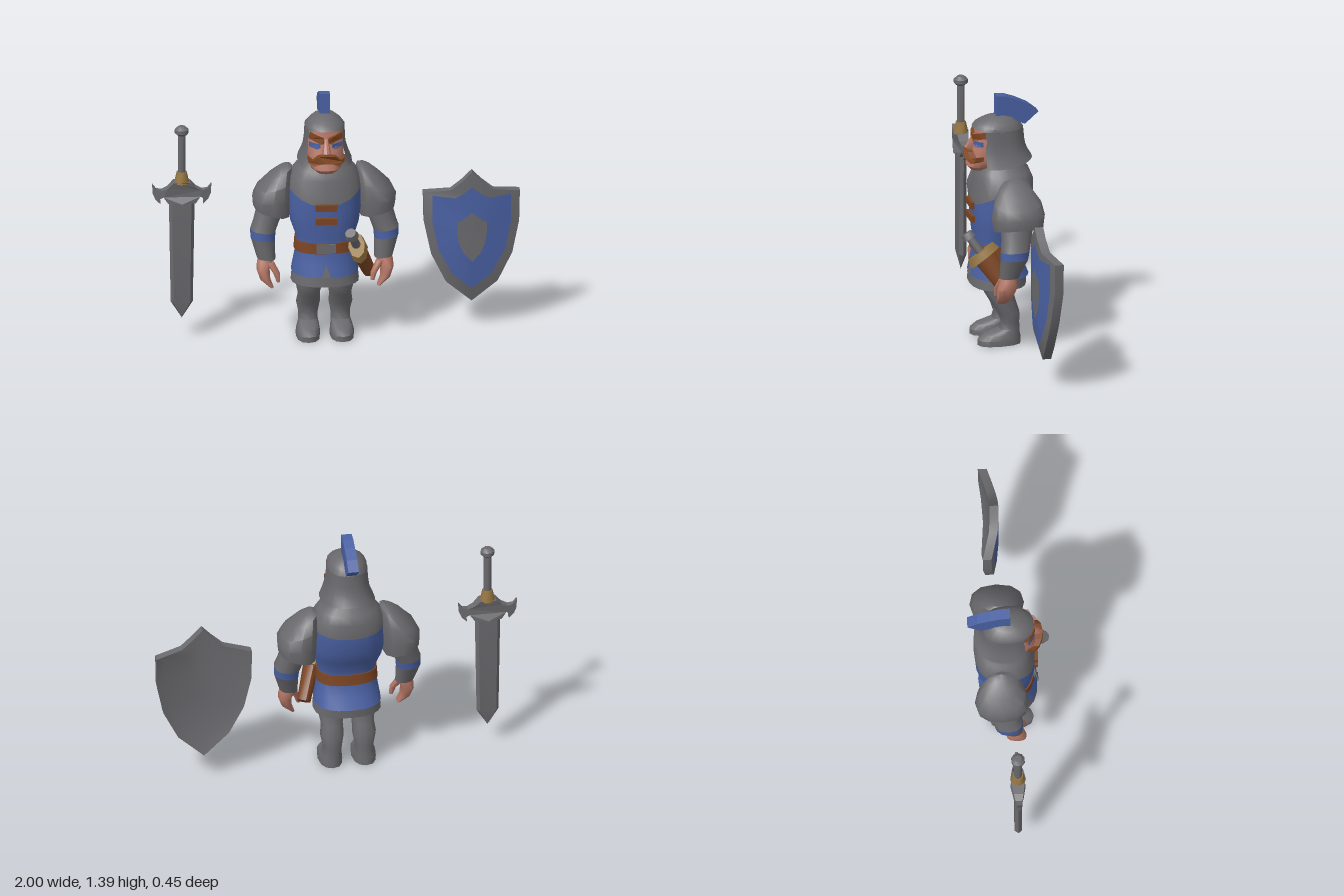
import * as THREE from 'three';
import { toCreasedNormals } from 'three/addons/utils/BufferGeometryUtils.js';

const mat = (name, color, side = THREE.FrontSide) => {
  const m = new THREE.MeshStandardMaterial({ color, side });
  m.name = name;
  return m;
};
const C = -0.065; // centre line of the figure
const V = (x, y, z) => new THREE.Vector3(x, y, z);

// Horizontal rounded cross-section; tx and tz tilt it, dip bends it by angle
function ring(x, y, z, rx, rz, { n = 16, e = 0.8, tx = 0, tz = 0, dip = () => 0 } = {}) {
  return Array.from({ length: n }, (_, i) => {
    const a = (i / n) * Math.PI * 2, c = Math.cos(a), s = Math.sin(a);
    const dx = Math.sign(c) * Math.abs(c) ** e * rx, dz = Math.sign(s) * Math.abs(s) ** e * rz;
    return V(x + dx, y + tx * dx + tz * dz + dip(s), z + dz);
  });
}
const point = (p, n) => Array.from({ length: n }, () => p.clone());
const middle = r => point(r.reduce((a, p) => a.add(p), V(0, 0, 0)).divideScalar(r.length), r.length);

// Skin a list of cross-sections
function loft(rings, { caps = true, closed = true, crease = 0.75 } = {}) {
  const rs = caps ? [middle(rings[0]), ...rings, middle(rings.at(-1))] : rings;
  const out = [], n = rs[0].length;
  const tri = (a, b, c) => {
    if (a.distanceTo(b) > 1e-6 && b.distanceTo(c) > 1e-6 && a.distanceTo(c) > 1e-6)
      for (const p of [a, b, c]) out.push(p.x, p.y, p.z);
  };
  for (let i = 0; i < rs.length - 1; i++)
    for (let j = 0; j < (closed ? n : n - 1); j++) {
      const k = (j + 1) % n;
      tri(rs[i][j], rs[i + 1][j], rs[i + 1][k]);
      tri(rs[i][j], rs[i + 1][k], rs[i][k]);
    }
  const g = new THREE.BufferGeometry();
  g.setAttribute('position', new THREE.Float32BufferAttribute(out, 3));
  g.computeVertexNormals();
  return toCreasedNormals(g, crease);
}
// Flat outline pushed to a depth, centred on z = 0
function slab(points, depth) {
  const s = new THREE.Shape(points.map(p => new THREE.Vector2(...p)));
  return new THREE.ExtrudeGeometry(s, { depth, bevelEnabled: false }).translate(0, 0, -depth / 2);
}
function bend(g, rule) {
  const p = g.attributes.position;
  for (let i = 0; i < p.count; i++) p.setZ(i, rule(p.getX(i), p.getY(i), p.getZ(i)));
  g.computeVertexNormals();
  return g;
}
const mirrored = half => [...half, ...half.filter(p => p[0] > 0).reverse().map(([x, y]) => [-x, y])];

export function createModel() {
  const root = new THREE.Group();
  const grey = mat('steel grey', 0x6a6a6e), blue = mat('cloth blue', 0x4a61a3);
  const brown = mat('leather brown', 0x7c4523), skin = mat('skin', 0xb57766);
  const tan = mat('brass tan', 0x94743f), hair = mat('hair brown', 0x804722);
  const shell = mat('helmet grey', 0x6a6a6e, THREE.DoubleSide);
  const add = (name, geo, m, parent = root) => {
    const mesh = new THREE.Mesh(geo, m);
    mesh.name = name;
    parent.add(mesh);
    return mesh;
  };

  // Torso sections: height, half width, front z, back z
  const body = (y, rx, f, b, o = {}) => ring(C, y, (f + b) / 2, rx, (f - b) / 2, { n: 20, ...o });
  const neckline = { dip: s => (s > 0 ? -0.08 : -0.03) * s * s };
  const collar = body(0.875, 0.2, 0.143, -0.19, neckline);
  add('underTunic', loft([body(0.33, 0.185, 0.155, -0.15), body(0.4, 0.178, 0.148, -0.155)]), grey);
  add('tunic', loft([body(0.385, 0.183, 0.155, -0.165), body(0.45, 0.172, 0.143, -0.135),
    body(0.54, 0.158, 0.125, -0.1), body(0.6, 0.162, 0.13, -0.11), body(0.67, 0.187, 0.138, -0.145),
    body(0.75, 0.2, 0.143, -0.185), collar], { caps: false }), blue);
  add('mailCollar', loft([collar, body(0.93, 0.19, 0.125, -0.19), body(0.975, 0.155, 0.11, -0.172),
    body(1.03, 0.1, 0.08, -0.13), body(1.1, 0.08, 0.04, -0.1)], { caps: false }), grey);
  add('belt', loft([body(0.515, 0.17, 0.136, -0.118), body(0.575, 0.166, 0.135, -0.112)]), brown);
  add('buckle', new THREE.BoxGeometry(0.105, 0.052, 0.009).translate(C, 0.546, 0.138), grey);
  for (const y of [0.71, 0.787])
    add('chestStrap', new THREE.BoxGeometry(0.12, 0.036, 0.03).translate(C, y, 0.142), brown);
  add('tunicSlit', bend(slab([[C - 0.024, 0.385], [C + 0.024, 0.385], [C, 0.455]], 0.006),
    (x, y, z) => z + 0.157 - (y - 0.385) * 0.19), grey);

  // Arms and legs
  for (const s of [1, -1]) {
    const side = s > 0 ? 'left' : 'right';
    const limb = (d, y, z, rx, rz, t = 0) => ring(C + s * d, y, z, rx, rz, { n: 12, e: 0.85, tx: t * s });
    add(side + 'Pauldron', loft([limb(0.285, 0.715, -0.05, 0.1, 0.138, 0.25), limb(0.283, 0.79, -0.05, 0.107, 0.148, 0.05),
      limb(0.27, 0.865, -0.05, 0.098, 0.13, -0.25), limb(0.245, 0.93, -0.05, 0.072, 0.085, -0.5),
      limb(0.225, 0.965, -0.05, 0.03, 0.035, -0.4)]), grey);
    const bandTop = limb(0.333, 0.61, -0.02, 0.069, 0.08, 0.12), bandLow = limb(0.335, 0.565, -0.015, 0.067, 0.076, 0.12);
    add(side + 'UpperArm', loft([bandTop, limb(0.315, 0.66, -0.03, 0.072, 0.082), limb(0.28, 0.76, -0.045, 0.08, 0.09)]), grey);
    add(side + 'ArmBand', loft([bandLow, bandTop], { caps: false }), blue);
    add(side + 'Forearm', loft([limb(0.318, 0.455, 0.01, 0.05, 0.052, 0.1), bandLow]), grey);
    add(side + 'Hand', loft([limb(0.29, 0.3, 0.045, 0.01, 0.028), limb(0.325, 0.345, 0.035, 0.028, 0.045),
      limb(0.336, 0.4, 0.025, 0.036, 0.055), limb(0.325, 0.44, 0.015, 0.043, 0.046), limb(0.318, 0.48, 0.01, 0.038, 0.04)]), skin);
    add(side + 'Thumb', loft([limb(0.255, 0.335, 0.065, 0.01, 0.012), limb(0.263, 0.38, 0.06, 0.018, 0.02),
      limb(0.3, 0.44, 0.035, 0.024, 0.028)]), skin);
    add(side + 'Leg', loft([limb(0.092, 0, 0.01, 0.065, 0.12), limb(0.092, 0.03, 0.01, 0.066, 0.12),
      limb(0.09, 0.058, -0.005, 0.06, 0.1), limb(0.088, 0.085, -0.048, 0.052, 0.056), limb(0.087, 0.12, -0.052, 0.053, 0.05),
      limb(0.088, 0.18, -0.042, 0.065, 0.06), limb(0.085, 0.24, -0.015, 0.06, 0.068), limb(0.085, 0.29, 0.003, 0.07, 0.073),
      limb(0.08, 0.38, 0.01, 0.072, 0.075)]), grey);
  }

  // Head: height, half width, front z
  const head = (y, rx, f) => ring(C, y, (f - 0.05) / 2, rx, (f + 0.05) / 2, { n: 16, e: 0.75 });
  add('head', loft([ring(C, 0.985, 0.09, 0.05, 0.06), head(1.01, 0.084, 0.172), head(1.05, 0.098, 0.16),
    head(1.11, 0.1, 0.14), head(1.17, 0.1, 0.125), head(1.23, 0.09, 0.115)]), skin);
  add('nose', loft([ring(C, 1.085, 0.145, 0.016, 0.015, { n: 8 }), ring(C, 1.11, 0.148, 0.023, 0.034, { n: 8 }),
    ring(C, 1.14, 0.138, 0.017, 0.026, { n: 8 }), ring(C, 1.18, 0.122, 0.012, 0.014, { n: 8 })]), skin);
  const curve = z0 => (x, y, z) => z + z0 - 4.5 * x * x;
  add('moustache', bend(slab(mirrored([[0, 1.1], [0.045, 1.095], [0.075, 1.067], [0.1, 1.078], [0.098, 1.052],
    [0.07, 1.036], [0.03, 1.053], [0, 1.056]]), 0.045), curve(0.163)).translate(C, 0, 0), hair);
  for (const s of [1, -1]) {
    const face = pts => pts.map(([x, y]) => [s * x, y]);
    add('eyebrow', bend(slab(face([[0.01, 1.158], [0.03, 1.152], [0.092, 1.178], [0.085, 1.212], [0.04, 1.195], [0.012, 1.185]]), 0.03),
      curve(0.128)).translate(C, 0, 0), hair);
    add('eye', bend(slab(face([[0.03, 1.135], [0.05, 1.122], [0.09, 1.132], [0.09, 1.158], [0.035, 1.152]]), 0.009),
      curve(0.138)).translate(C, 0, 0), blue);
  }

  // Helmet: dome with a brim, and a flared guard open at the face
  const dome = (y, rx, f, b, tz = 0) => ring(C, y, (f + b) / 2, rx, (f - b) / 2, { n: 18, e: 0.88, tz });
  add('helmetDome', loft([dome(1.2, 0.108, 0.138, -0.145, 0.17), dome(1.225, 0.107, 0.122, -0.138, 0.12),
    dome(1.25, 0.086, 0.098, -0.115, 0.06), dome(1.27, 0.06, 0.07, -0.085), dome(1.283, 0.03, 0.03, -0.05)]), grey);
  const guard = (y, rx, b, lift) => Array.from({ length: 17 }, (_, i) => {
    const a = (0.25 - (i / 16) * 1.5) * Math.PI, c = Math.cos(a), sn = Math.sin(a);
    const e = sn > 0 ? 0.5 : 0.9, z = Math.abs(sn) ** e;
    return V(C + Math.sign(c) * Math.abs(c) ** e * rx, y + (sn < 0 ? lift * z : 0), -0.03 + (sn > 0 ? 0.135 * z : (b + 0.03) * z));
  });
  add('helmetGuard', loft([guard(1.215, 0.107, -0.142, 0), guard(1.15, 0.11, -0.148, 0), guard(1.1, 0.117, -0.155, 0.01),
    guard(1.055, 0.13, -0.17, 0.02), guard(1.012, 0.148, -0.19, 0.03)], { caps: false, closed: false }), shell);
  add('plume', slab([[0.01, 1.26], [0.007, 1.395], [-0.045, 1.39], [-0.1, 1.37], [-0.17, 1.335], [-0.225, 1.29],
    [-0.15, 1.225], [-0.1, 1.245], [-0.05, 1.265]], 0.058).rotateY(-Math.PI / 2).translate(C, 0, 0), blue);

  // Sheathed blade on the belt, built along its own axis
  const sheath = new THREE.Group();
  sheath.name = 'scabbard';
  sheath.position.set(0.105, 0.545, 0.12);
  sheath.quaternion.setFromUnitVectors(V(0, -1, 0), V(0.065, -0.17, -0.12).normalize());
  root.add(sheath);
  const turned = (r1, r2, h, y, sx = 1, sz = 1, n = 10) =>
    toCreasedNormals(new THREE.CylinderGeometry(r1, r2, h, n).scale(sx, 1, sz).translate(0, y, 0), 0.8);
  add('sheathBody', turned(0.06, 0.05, 0.22, -0.11, 0.72, 1.05), brown, sheath);
  add('sheathGuard', turned(0.085, 0.095, 0.045, 0, 0.55, 1, 8), tan, sheath);
  add('sheathGrip', turned(0.022, 0.024, 0.13, 0.06), grey, sheath);
  add('sheathPommel', turned(0.03, 0.038, 0.035, 0.13), grey, sheath);

  // Sword
  const sword = new THREE.Group();
  sword.name = 'sword';
  sword.position.set(-0.84, 0, 0.01);
  root.add(sword);
  const hex = [[0.07, 0], [0.052, 0.02], [-0.052, 0.02], [-0.07, 0], [-0.052, -0.02], [0.052, -0.02]];
  const cut = (y, k) => hex.map(([x, z]) => V(x * k, y, z));
  add('blade', loft([point(V(0, 0.12, 0), 6), cut(0.215, 0.86), cut(0.82, 1)], { crease: 0.3 }), grey, sword);
  add('crossGuard', bend(slab(mirrored([[0, 0.915], [0.045, 0.91], [0.075, 0.878], [0.11, 0.862], [0.14, 0.87], [0.16, 0.898],
    [0.158, 0.845], [0.143, 0.81], [0.115, 0.785], [0.118, 0.815], [0.1, 0.826], [0.075, 0.79], [0, 0.79]]), 0.084),
    (x, y, z) => z * (1 - 5 * Math.abs(x))), grey, sword);
  add('ferrule', turned(0.028, 0.043, 0.065, 0.935), tan, sword);
  add('grip', turned(0.022, 0.022, 0.24, 1.08), grey, sword);
  add('pommel', loft([[1.18, 0.026], [1.192, 0.038], [1.212, 0.038], [1.229, 0.02]]
    .map(([y, r]) => ring(0, y, 0, r, r, { n: 10, e: 1 }))), grey, sword);

  // Shield: curved plate with a border, a field and a centre emblem
  const rim = mirrored([[0, 0.912], [0.05, 0.86], [0.115, 0.805], [0.262, 0.782], [0.258, 0.61], [0.22, 0.43], [0.14, 0.27], [0, 0.15]]);
  const field = mirrored([[0, 0.825], [0.04, 0.79], [0.09, 0.76], [0.212, 0.768], [0.212, 0.61], [0.18, 0.455], [0.105, 0.32], [0, 0.23]]);
  const emblem = mirrored([[0, 0.675], [0.025, 0.655], [0.05, 0.635], [0.08, 0.62], [0.08, 0.56], [0.072, 0.5], [0.045, 0.44], [0, 0.39]]);
  const bow = (x, y, back) => V(0.735 + x, y, -0.014 - back - 0.05 * (x / 0.262) ** 2 - 0.6 * Math.max(0, 0.42 - y) ** 2);
  const on = (outline, back = 0) => outline.map(([x, y]) => bow(x, y, back));
  const n = rim.length, shield = new THREE.Group();
  shield.name = 'shield';
  root.add(shield);
  add('shieldBack', loft([point(bow(0, 0.53, 0.045), n), on(emblem, 0.045), on(field, 0.045), on(rim, 0.048), on(rim)], { caps: false }), grey, shield);
  add('shieldBorder', loft([on(rim), on(field)], { caps: false }), grey, shield);
  add('shieldField', loft([on(field), on(emblem)], { caps: false }), blue, shield);
  add('shieldEmblem', loft([on(emblem), point(bow(0, 0.53, 0), n)], { caps: false }), grey, shield);
  return root;
}
